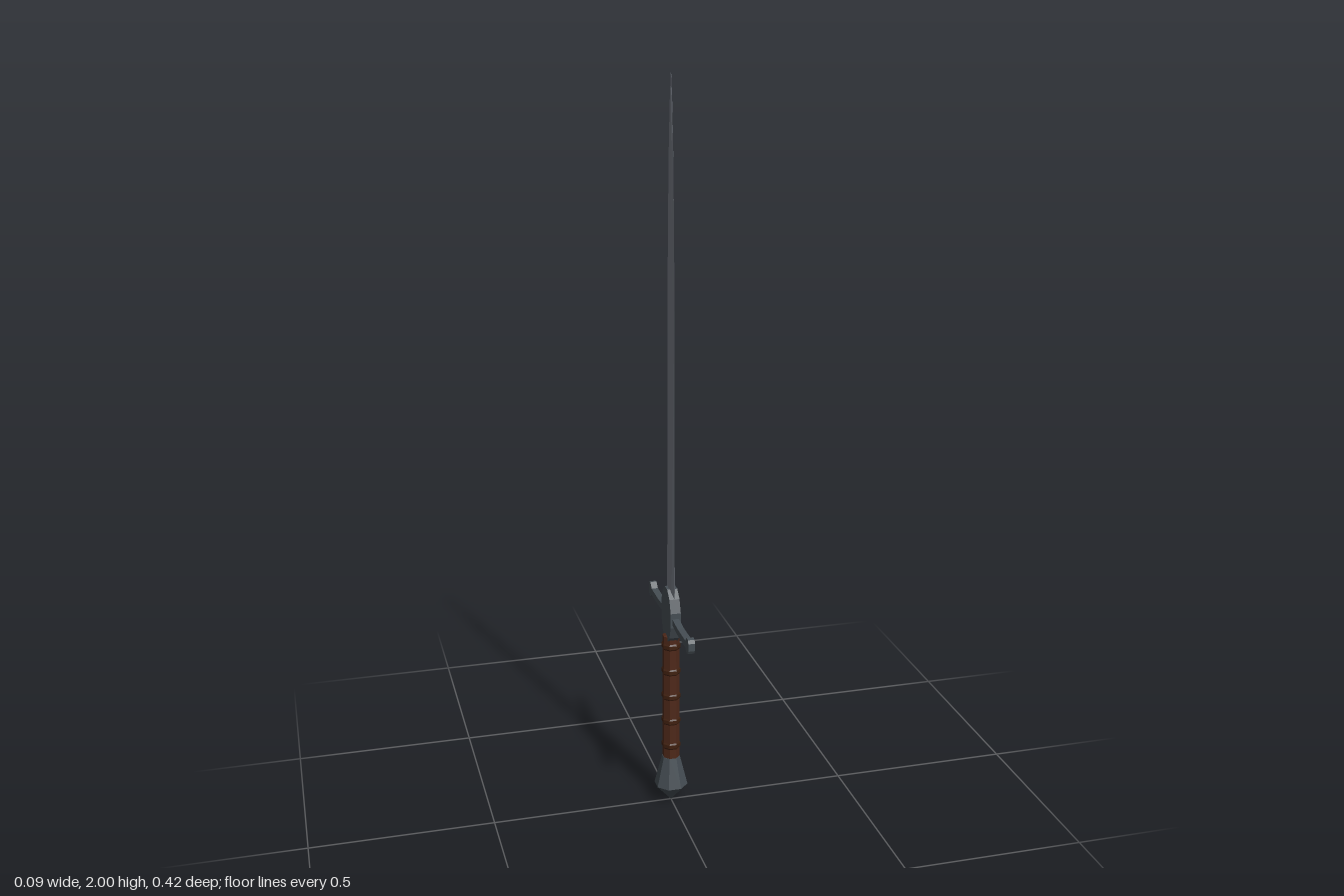
import * as THREE from 'three';

const mat = (color) => new THREE.MeshStandardMaterial({ color, flatShading: true });

// Closed loft through rings of equal point count; rings run upward
function loft(rings) {
  const n = rings[0].length, pos = rings.flat(2), index = [];
  for (let r = 0; r < rings.length - 1; r++) {
    for (let i = 0; i < n; i++) {
      const a = r * n + i, b = r * n + (i + 1) % n;
      index.push(a, a + n, b, b, a + n, b + n);
    }
  }
  const geo = new THREE.BufferGeometry();
  geo.setAttribute('position', new THREE.Float32BufferAttribute(pos, 3));
  geo.setIndex(index);
  geo.computeVertexNormals();
  return geo;
}

// Blade cross-section: shallow ridge, then bevels to both edges
function bladeRing([y, w, t]) {
  return [
    [0, y, w], [-t * 0.6, y, w * 0.6], [-t, y, 0], [-t * 0.6, y, -w * 0.6],
    [0, y, -w], [t * 0.6, y, -w * 0.6], [t, y, 0], [t * 0.6, y, w * 0.6],
  ];
}

// Eight-sided turned part with flats facing the axes
function turned(points) {
  const geo = new THREE.LatheGeometry(points.map(([r, y]) => new THREE.Vector2(r, y)), 8);
  return geo.rotateY(Math.PI / 8);
}

export function createModel() {
  const sword = new THREE.Group();
  sword.name = 'sword';
  const blade = mat(0x747982), steel = mat(0x454d53), leather = mat(0x4e2819), cord = mat(0x40200f);
  const add = (name, geo, material) => {
    const mesh = new THREE.Mesh(geo, material);
    mesh.name = name;
    sword.add(mesh);
    return mesh;
  };

  // Blade
  add('blade', loft([
    [0.57, 0.037, 0.008], [1.46, 0.034, 0.006], [1.64, 0.029, 0.005],
    [1.81, 0.021, 0.004], [1.92, 0.01, 0.003], [2.0, 0.0003, 0.0003],
  ].map(bladeRing)), blade);

  // Oval boss at the centre of the guard
  const boss = new THREE.CylinderGeometry(0.0518, 0.0518, 0.028, 12);
  boss.rotateY(Math.PI / 12).rotateZ(Math.PI / 2).scale(1, 1.54, 1);
  add('guardBoss', boss, steel).position.y = 0.567;

  // Crossguard with flared ends: upper and lower outline, mirrored
  const upper = [[0.04, 0.573], [0.1, 0.567], [0.178, 0.568], [0.193, 0.582], [0.205, 0.58], [0.21, 0.571]];
  const lower = [[0.21, 0.55], [0.205, 0.541], [0.193, 0.538], [0.178, 0.549], [0.1, 0.549], [0.04, 0.555]];
  const half = [...upper, ...lower];
  const outline = [...half, ...half.map(([z, y]) => [-z, y]).reverse()];
  const guard = new THREE.ExtrudeGeometry(
    new THREE.Shape(outline.map(([z, y]) => new THREE.Vector2(z, y))),
    { depth: 0.018, bevelEnabled: false });
  guard.translate(0, 0, -0.009).rotateY(-Math.PI / 2);
  add('crossguard', guard, steel);

  // Grip
  add('grip', turned([[0, 0.125], [0.0235, 0.125], [0.024, 0.3], [0.0235, 0.505], [0, 0.515]]), leather);

  // Cord bands around the grip
  for (let i = 0; i < 5; i++) {
    const y = 0.175 + i * 0.075;
    add('gripBand', turned([
      [0.022, y - 0.012], [0.0262, y - 0.005], [0.0262, y + 0.005], [0.022, y + 0.012],
    ]), cord);
  }

  // Pommel
  add('pommel', turned([[0, 0], [0.0465, 0.052], [0.025, 0.138], [0, 0.138]]), steel);

  return sword;
}
